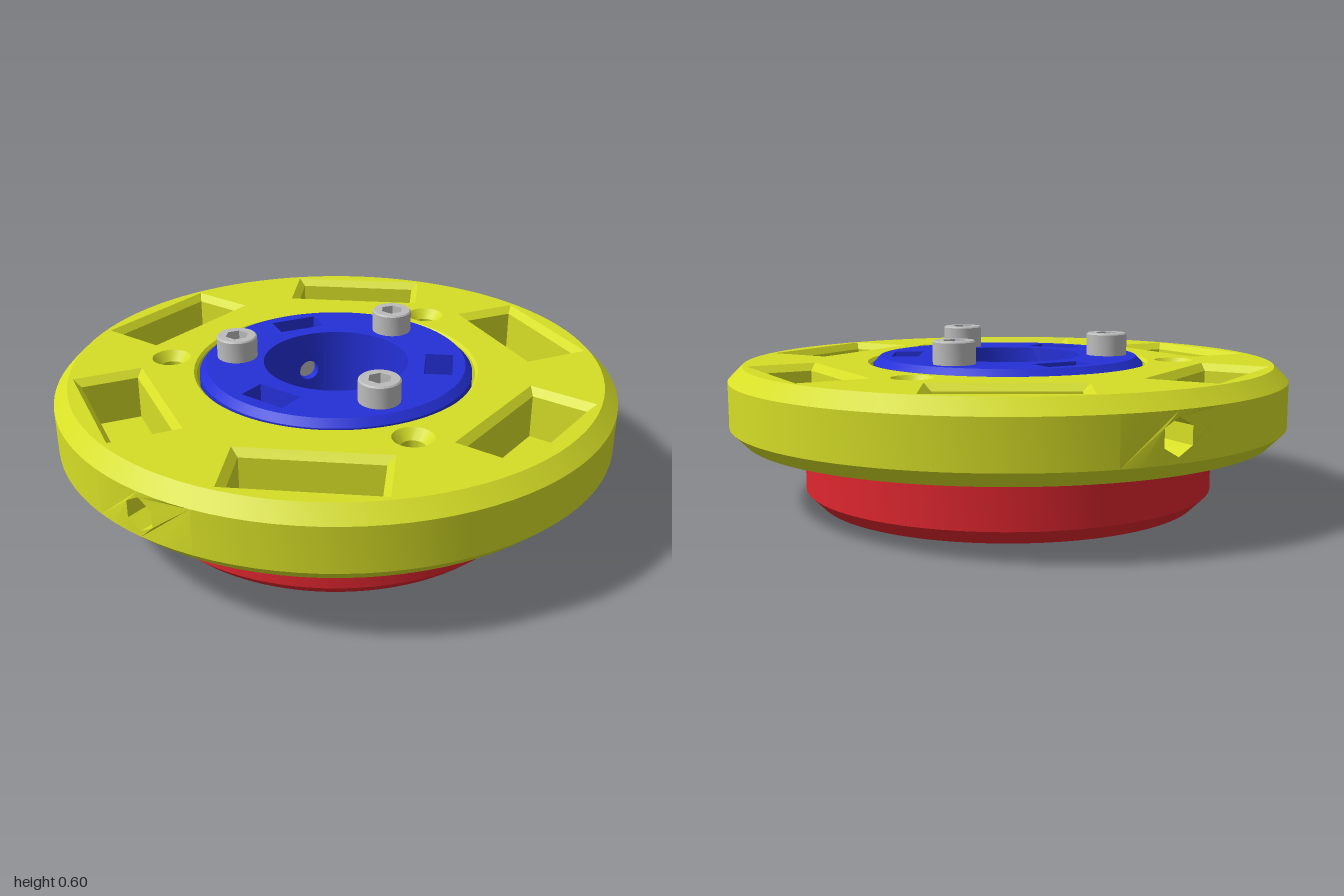
import * as THREE from 'three';
import { toCreasedNormals } from 'three/addons/utils/BufferGeometryUtils.js';

const SEG = 96;
const THIRD = Math.PI * 2 / 3;
const SCREW_ANGLES = [0, THIRD, 2 * THIRD];               // measured from +z towards +x
const SLOT_ANGLES = SCREW_ANGLES.map(a => a + Math.PI / 3);
const PANEL = Math.PI * 6 / SEG;                          // half angle of a wall panel with a hole

const mat = (name, color) => {
  const m = new THREE.MeshStandardMaterial({ color, side: THREE.DoubleSide });
  m.name = name;
  return m;
};

// 2D outlines: [a, b] pairs
const ngon = (n, r, b = 0, turn = 0) => Array.from({ length: n }, (_, i) => {
  const t = turn + i / n * Math.PI * 2;
  return [r * Math.sin(t), b + r * Math.cos(t)];
});
const rect = (w, z0, z1) => [[-w, z0], [w, z0], [w, z1], [-w, z1]];

// Place an outline flat at height y, turned around the main axis
const flat = (pts, y, phi = 0) => pts.map(([x, z]) =>
  new THREE.Vector3(x, y, z).applyAxisAngle(new THREE.Vector3(0, 1, 0), phi));

export function createModel() {
  const root = new THREE.Group();
  const yellow = mat('yellow', 0xd6de26);
  const red = mat('red', 0xe0262f);
  const blue = mat('blue', 0x2430d8);
  const steel = mat('steel', 0xbcbcbc);

  const group = name => {
    const g = new THREE.Group();
    g.name = name;
    root.add(g);
    return g;
  };
  const add = (parent, name, geo, material) => {
    const m = new THREE.Mesh(toCreasedNormals(geo, 0.5), material);
    m.name = name;
    parent.add(m);
    return m;
  };

  const lathe = (pts, start = 0, len = Math.PI * 2, seg = SEG) =>
    new THREE.LatheGeometry(pts.map(p => new THREE.Vector2(...p)), seg, start, len);

  // Flat face with holes, from loops lying at one height
  const cap = (outer, holes = []) => {
    const to2 = l => l.map(v => new THREE.Vector2(v.x, -v.z));
    const s = new THREE.Shape(to2(outer));
    s.holes = holes.map(h => new THREE.Path(to2(h)));
    return new THREE.ShapeGeometry(s).rotateX(-Math.PI / 2).translate(0, outer[0].y, 0);
  };

  // Wall through a list of equal-length loops
  const loft = loops => {
    const p = [];
    for (let k = 0; k + 1 < loops.length; k++) {
      const a = loops[k], b = loops[k + 1], n = a.length;
      for (let i = 0; i < n; i++) {
        const j = (i + 1) % n;
        for (const v of [a[i], a[j], b[j], a[i], b[j], b[i]]) p.push(v.x, v.y, v.z);
      }
    }
    const g = new THREE.BufferGeometry();
    g.setAttribute('position', new THREE.Float32BufferAttribute(p, 3));
    g.computeVertexNormals();
    return g;
  };

  // Round wall of radius R with a radial hole at each slot angle, running to radius end
  const drilledWall = (parent, name, R, y0, y1, hole, end, material) => {
    const edge = y => Array.from({ length: 7 }, (_, i) => [R * Math.sin(PANEL * (i / 3 - 1)), y]);
    const outline = [...edge(y0), ...edge(y1).reverse()];
    const onWall = x => Math.sqrt(R * R - x * x);
    for (const phi of SLOT_ANGLES) {
      const s = new THREE.Shape(outline.map(p => new THREE.Vector2(...p)));
      s.holes.push(new THREE.Path(hole.map(p => new THREE.Vector2(...p))));
      const g = new THREE.ShapeGeometry(s);
      const pos = g.attributes.position;
      for (let i = 0; i < pos.count; i++) pos.setZ(i, onWall(pos.getX(i)));
      g.computeVertexNormals();
      add(parent, name + 'Panel', g, material).rotation.y = phi;
      add(parent, name + 'Hole', loft([
        hole.map(([x, y]) => new THREE.Vector3(x, y, onWall(x))),
        hole.map(([x, y]) => new THREE.Vector3(x, y, end))]), material).rotation.y = phi;
      add(parent, name, lathe([[R, y0], [R, y1]], phi + PANEL, THIRD - 2 * PANEL, 26), material);
    }
  };

  // Outer ring: chamfered rim, bore and underside recess
  const ring = group('outerRing');
  add(ring, 'ringUnderside', lathe([[0.76, 0.28], [0.76, 0.255], [0.775, 0.24], [0.95, 0.24], [1, 0.29]]), yellow);
  add(ring, 'ringTopChamfer', lathe([[1, 0.45], [0.95, 0.5]]), yellow);
  add(ring, 'ringBore', lathe([[0.51, 0.5], [0.5, 0.49], [0.5, 0.28]]), yellow);
  drilledWall(ring, 'rim', 1, 0.29, 0.45, ngon(6, 0.06, 0.37), 0.5, yellow);

  // Six chamfered pockets in the ring
  const topHoles = [flat(ngon(SEG, 0.51), 0.5)];
  for (let i = 0; i < 6; i++) {
    const phi = Math.PI / 6 + i * Math.PI / 3;
    const mouth = flat(rect(0.257, 0.65, 0.897), 0.5, phi);
    const inner = rect(0.232, 0.673, 0.874);
    const floor = flat(inner, 0.32, phi);
    topHoles.push(mouth);
    add(ring, 'pocketWalls', loft([mouth, flat(inner, 0.475, phi), floor]), yellow);
    add(ring, 'pocketFloor', cap(floor), yellow);
  }

  // Three countersunk through holes
  const ceilingHoles = [flat(ngon(SEG, 0.5), 0.28)];
  for (const phi of SCREW_ANGLES) {
    const mouth = flat(ngon(24, 0.07, 0.607), 0.5, phi);
    const exit = flat(ngon(24, 0.042, 0.607), 0.28, phi);
    topHoles.push(mouth);
    ceilingHoles.push(exit);
    add(ring, 'countersunkHole', loft([mouth, flat(ngon(24, 0.042, 0.607), 0.465, phi), exit]), yellow);
  }
  add(ring, 'ringTop', cap(flat(ngon(SEG, 0.95), 0.5), topHoles), yellow);
  add(ring, 'ringRecessCeiling', cap(flat(ngon(SEG, 0.76), 0.28), ceilingHoles), yellow);

  // Lower disc with hexagonal nut recesses underneath
  const base = group('baseDisc');
  add(base, 'baseBody', lathe([[0.69, 0], [0.74, 0.05], [0.74, 0.21], [0.69, 0.26], [0.235, 0.26], [0.235, 0]]), red);
  const baseHoles = [flat(ngon(SEG, 0.235), 0)];
  for (const phi of SCREW_ANGLES) {
    const mouth = flat(ngon(6, 0.093, 0.36), 0, phi);
    const floor = flat(ngon(6, 0.093, 0.36), 0.08, phi);
    baseHoles.push(mouth);
    add(base, 'nutRecess', loft([mouth, floor]), red);
    add(base, 'nutRecessFloor', cap(floor), red);
  }
  add(base, 'baseUnderside', cap(flat(ngon(SEG, 0.69), 0), baseHoles), red);

  // Hub with a drilled bore and three nut slots
  const hub = group('hub');
  add(hub, 'hubOutside', lathe([[0.26, 0.26], [0.49, 0.26], [0.49, 0.495], [0.465, 0.52]]), blue);
  drilledWall(hub, 'hubBore', 0.26, 0.26, 0.52, ngon(24, 0.038, 0.37), 0.32, blue);
  const hubHoles = [flat(ngon(SEG, 0.26), 0.52)];
  for (const phi of SLOT_ANGLES) {
    const mouth = flat(rect(0.087, 0.32, 0.42), 0.52, phi);
    const floor = flat(rect(0.087, 0.32, 0.42), 0.29, phi);
    hubHoles.push(mouth);
    // The inner slot wall is left open so the bore hole reaches the nut
    add(hub, 'slotWalls', loft([mouth, floor]), blue);
    add(hub, 'slotFloor', cap(floor), blue);
  }
  add(hub, 'hubTop', cap(flat(ngon(SEG, 0.465), 0.52), hubHoles), blue);

  // Upright nuts held in the slots
  for (const phi of SLOT_ANGLES) {
    const g = group('slotNut');
    g.rotation.y = phi;
    const nut = new THREE.CylinderGeometry(0.077, 0.077, 0.075, 6).rotateX(Math.PI / 2).rotateZ(Math.PI / 6);
    add(g, 'nutBody', nut.translate(0, 0.37, 0.37), steel);
    add(g, 'nutFace', new THREE.CylinderGeometry(0.038, 0.038, 0.115, 24)
      .rotateX(Math.PI / 2).translate(0, 0.37, 0.35), steel);
  }

  // Socket head screws with nuts on their lower ends
  for (const phi of SCREW_ANGLES) {
    const g = group('screw');
    g.position.set(0.36 * Math.sin(phi), 0, 0.36 * Math.cos(phi));
    g.rotation.y = phi;
    add(g, 'headSide', lathe([[0, 0.52], [0.073, 0.52], [0.073, 0.595], [0.068, 0.6]], 0, Math.PI * 2, 32), steel);
    const socket = ngon(6, 0.042, 0, Math.PI / 6);
    add(g, 'headTop', cap(flat(ngon(32, 0.068), 0.6), [flat(socket, 0.6)]), steel);
    add(g, 'socketWalls', loft([flat(socket, 0.6), flat(socket, 0.56)]), steel);
    add(g, 'socketFloor', cap(flat(socket, 0.56)), steel);
    add(g, 'shaft', new THREE.CylinderGeometry(0.034, 0.034, 0.5, 24).translate(0, 0.263, 0), steel);
    const hex = ngon(6, 0.083), hole = ngon(24, 0.045);
    add(g, 'nutSide', loft([flat(hex, 0.008), flat(hex, 0.08)]), steel);
    add(g, 'nutFace', cap(flat(hex, 0.008), [flat(hole, 0.008)]), steel);
    add(g, 'nutThread', loft([flat(hole, 0.008), flat(ngon(24, 0.034), 0.03)]), steel);
  }
  return root;
}
